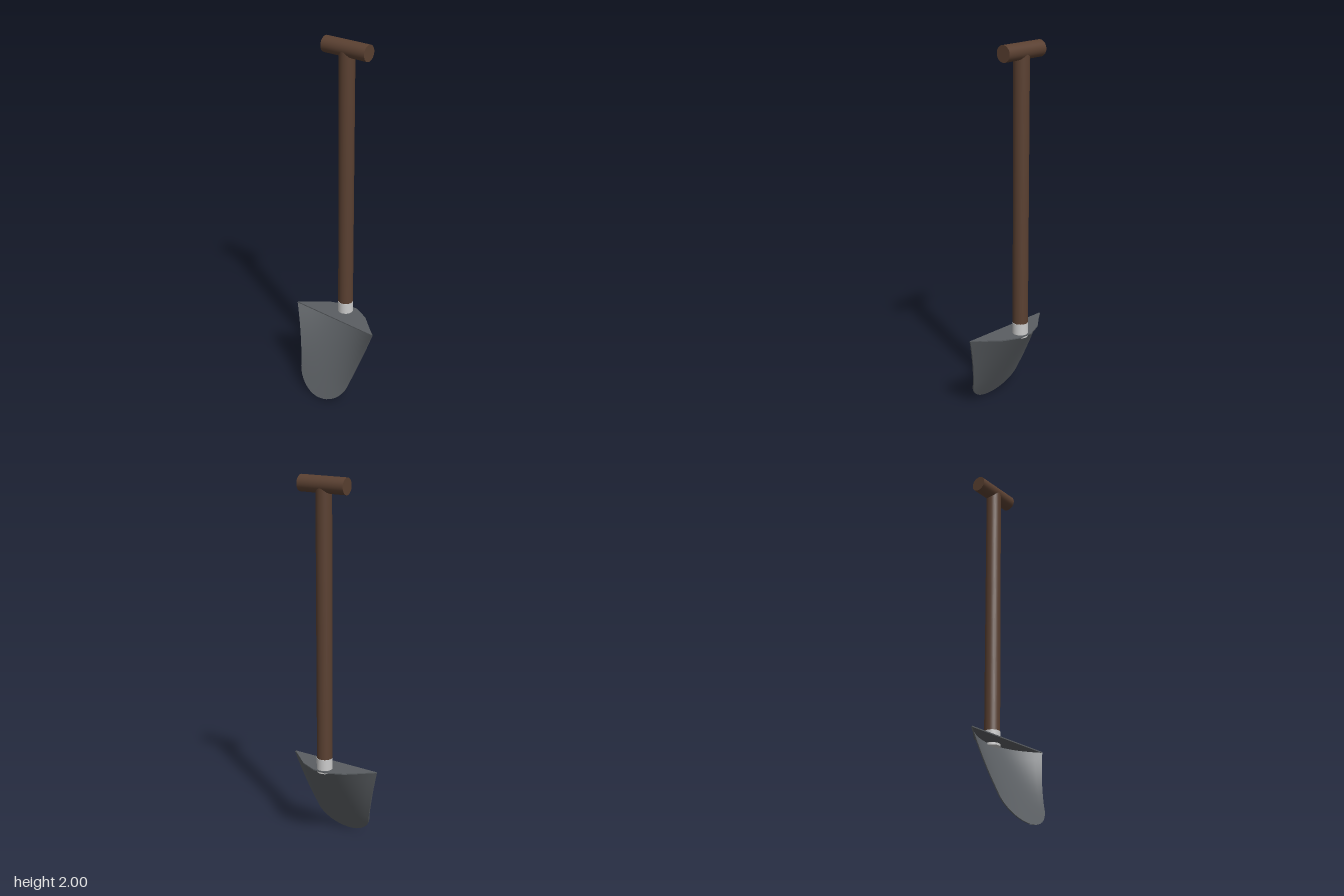
import * as THREE from 'three';
import { toCreasedNormals } from 'three/addons/utils/BufferGeometryUtils.js';

const wood = new THREE.MeshStandardMaterial({ color: 0x5a4031 });
const steel = new THREE.MeshStandardMaterial({ color: 0x5a5e62, side: THREE.DoubleSide });
const ferrule = new THREE.MeshStandardMaterial({ color: 0xcccccc });

const SHAFT_Z = -0.107;
const BLADE_TOP = 0.455;

function addMesh(parent, name, geometry, material) {
  const mesh = new THREE.Mesh(geometry, material);
  mesh.name = name;
  parent.add(mesh);
  return mesh;
}

// Rows of [y, half width]: rounded tip, then straight flaring sides
function bladeRows() {
  const rows = [];
  for (let i = 0; i <= 9; i++) {
    const a = 0.04 + (1.41 * i) / 9;
    rows.push([0.158 - 0.155 * Math.cos(a), 0.172 * Math.sin(a)]);
  }
  const [y0, w0] = rows[rows.length - 1];
  for (let i = 1; i <= 6; i++) {
    const t = i / 6;
    rows.push([y0 + (BLADE_TOP - y0) * t, w0 + (0.265 - w0) * t]);
  }
  return rows;
}

// Thin scoop: each row is a loop along the hollow face and back along the outside
function bladeGeometry() {
  const cols = 16, thickness = 0.007;
  const rows = bladeRows();
  const positions = [], index = [];
  const ring = 2 * (cols + 1);
  for (const [y, w] of rows) {
    const depth = 0.11 * Math.pow(y / BLADE_TOP, 1.6);
    const zMid = 0.148 - 0.555 * y;
    for (let k = 0; k < ring; k++) {
      const inner = k <= cols;
      const u = ((inner ? k : ring - 1 - k) / cols) * 2 - 1;
      positions.push(w * u, y, zMid + depth * u * u - (inner ? 0 : thickness));
    }
  }
  for (let r = 0; r < rows.length - 1; r++) {
    for (let k = 0; k < ring; k++) {
      const a = r * ring + k, b = r * ring + ((k + 1) % ring);
      index.push(a, b, b + ring, a, b + ring, a + ring);
    }
  }
  const geometry = new THREE.BufferGeometry();
  geometry.setAttribute('position', new THREE.Float32BufferAttribute(positions, 3));
  geometry.setIndex(index);
  return toCreasedNormals(geometry, 0.6);
}

// Flat plate closing the top of the scoop
function topPlateGeometry() {
  const half = [[0.265, 0.004], [0.13, -0.11], [0.04, -0.15]];
  const outline = [...half, ...half.map(([x, z]) => [-x, z]).reverse()];
  const shape = new THREE.Shape(outline.map(([x, z]) => new THREE.Vector2(x, z)));
  const geometry = new THREE.ExtrudeGeometry(shape, { depth: 0.006, bevelEnabled: false });
  return geometry.rotateX(Math.PI / 2).translate(0, BLADE_TOP + 0.003, 0);
}

export function createModel() {
  const model = new THREE.Group();
  model.name = 'shovel';

  // Blade, turned very slightly about the shaft
  const blade = new THREE.Group();
  blade.name = 'blade';
  blade.rotation.y = -0.04;
  blade.position.z = -0.005;
  addMesh(blade, 'scoop', bladeGeometry(), steel);
  addMesh(blade, 'topPlate', topPlateGeometry(), steel);
  model.add(blade);

  // Collar joining blade and shaft
  const collar = addMesh(model, 'collar', new THREE.CylinderGeometry(0.0425, 0.0425, 0.08, 32), ferrule);
  collar.position.set(0, 0.48, SHAFT_Z);

  // Long wooden shaft
  const shaft = addMesh(model, 'shaft', new THREE.CylinderGeometry(0.041, 0.041, 1.44, 32), wood);
  shaft.position.set(0, 1.23, SHAFT_Z);

  // Cross grip
  const grip = addMesh(model, 'grip', new THREE.CylinderGeometry(0.0425, 0.0425, 0.264, 32), wood);
  grip.rotation.z = Math.PI / 2;
  grip.position.set(-0.001, 1.9575, SHAFT_Z - 0.001);

  return model;
}
